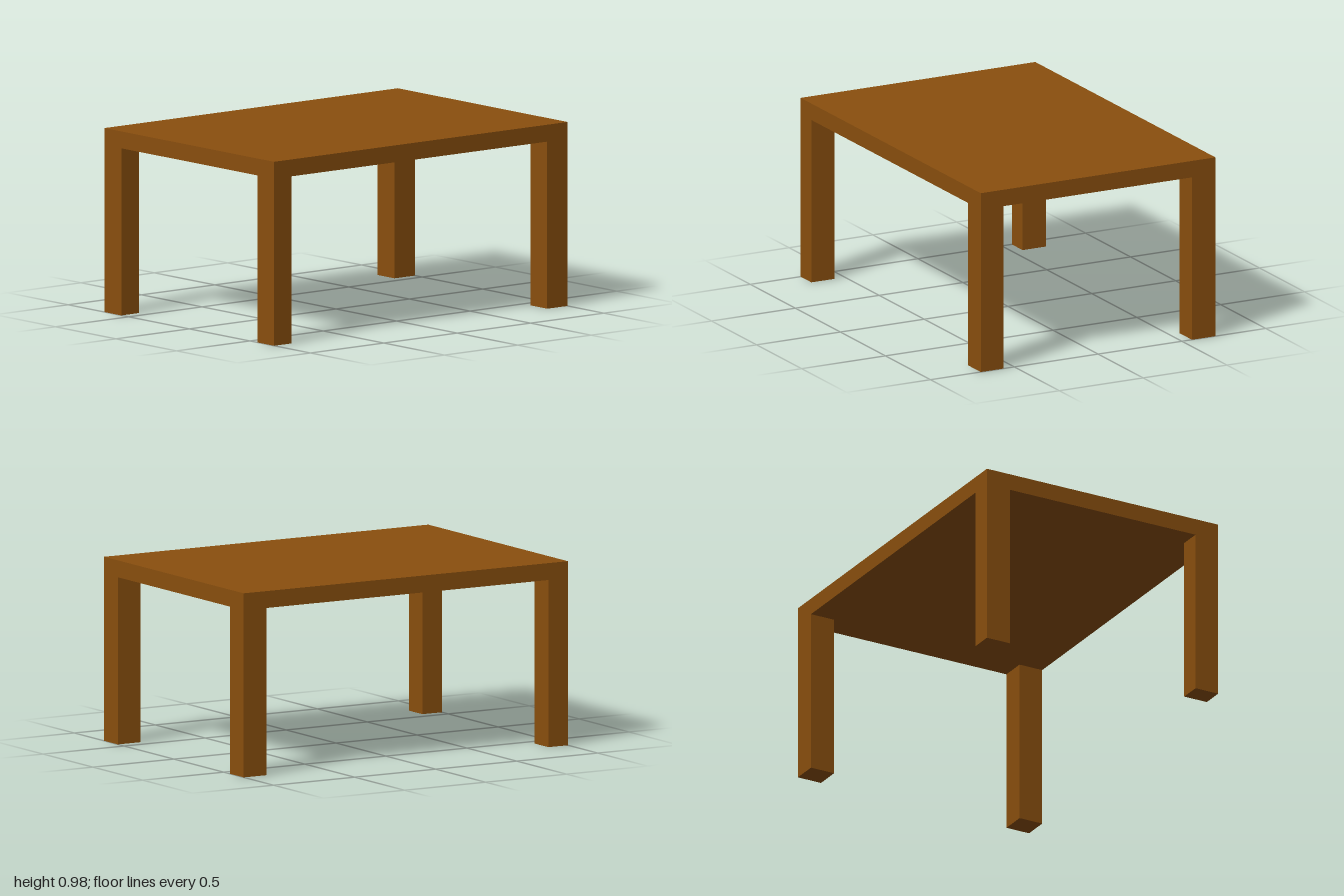
import * as THREE from 'three';

const WIDTH = 1.4, DEPTH = 2, HEIGHT = 0.98, UNDERSIDE = 0.89;

export function createModel() {
  const table = new THREE.Group();
  table.name = 'table';
  const wood = new THREE.MeshStandardMaterial({ color: 0x8a4f0e });

  // Box given by its size and centre
  function addBox(name, w, h, d, x, y, z) {
    const mesh = new THREE.Mesh(new THREE.BoxGeometry(w, h, d), wood);
    mesh.name = name;
    mesh.position.set(x, y, z);
    table.add(mesh);
  }

  // Slab top
  const thickness = HEIGHT - UNDERSIDE;
  addBox('tableTop', WIDTH, thickness, DEPTH, 0, UNDERSIDE + thickness / 2, 0);

  // Square legs flush with the corners; front pair slightly shallower
  for (const [side, sx, w] of [['Left', 1, 0.137], ['Right', -1, 0.14]]) {
    for (const [end, sz, d] of [['front', 1, 0.12], ['back', -1, 0.139]]) {
      addBox(`${end}${side}Leg`, w, UNDERSIDE, d,
        sx * (WIDTH - w) / 2, UNDERSIDE / 2, sz * (DEPTH - d) / 2);
    }
  }

  return table;
}
